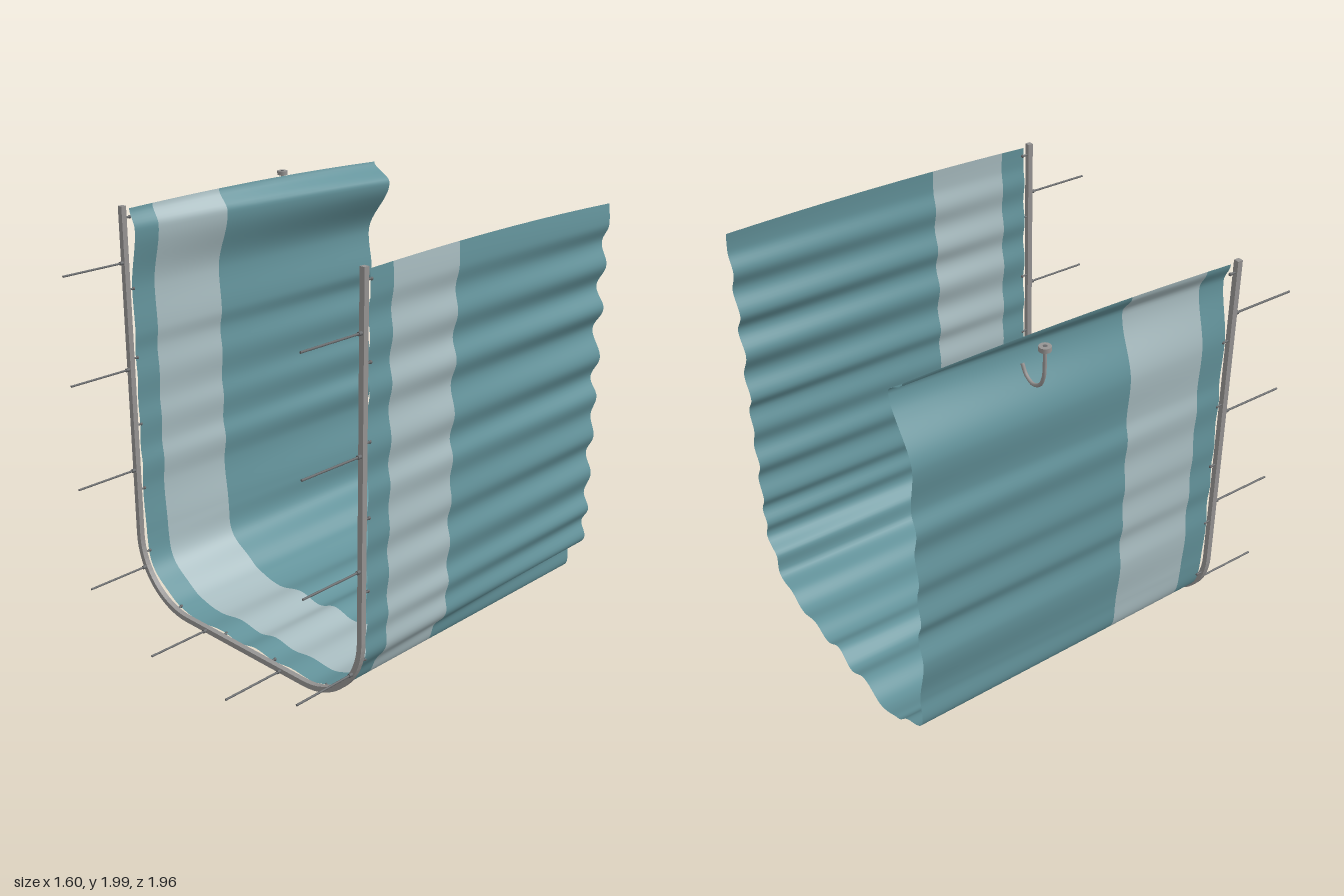
import * as THREE from 'three';

const mat = (name, color, side = THREE.FrontSide) => {
  const m = new THREE.MeshStandardMaterial({ color, side });
  m.name = name;
  return m;
};

// U-shaped path, measured by length s from the top of the right-hand (-x) leg
const LEFT = -0.7, RIGHT = 0.782, FLOOR = 0.04, R = 0.34, TOP = 2;
const leg = TOP - FLOOR - R, arc = R * Math.PI / 2, flat = RIGHT - LEFT - 2 * R;
const LENGTH = 2 * (leg + arc) + flat;

// Point on the path, moved inward by d
function pathPoint(s, d = 0) {
  if (s > LENGTH / 2) {
    const p = pathPoint(LENGTH - s, d);
    p.x = LEFT + RIGHT - p.x;
    return p;
  }
  if (s < leg) return new THREE.Vector2(LEFT + d, TOP - s);
  if (s < leg + arc) {
    const a = (s - leg) / R;
    return new THREE.Vector2(LEFT + R - (R - d) * Math.cos(a), FLOOR + R - (R - d) * Math.sin(a));
  }
  return new THREE.Vector2(LEFT + R + s - leg - arc, FLOOR + d);
}

// Crests and troughs of the folds: [length along path, inward offset at the free end]
const FOLDS = [
  [0, 0.03], [0.1, 0.14], [0.4, -0.005], [0.6, 0.02], [0.7, -0.01], [0.82, 0.012], [0.95, -0.01],
  [1.05, 0.01], [1.17, -0.01], [1.27, 0.02], [1.4, -0.01], [1.65, 0.03], [1.8, -0.015], [1.95, 0.03],
  [2.06, 0.005], [2.21, -0.03], [2.36, 0.02], [2.49, -0.028], [2.6, 0.03], [2.72, -0.02], [2.84, 0.015],
  [2.96, -0.01], [3.08, 0.02], [3.2, -0.02], [3.3, 0.04], [3.41, -0.012], [3.49, 0.022], [3.57, -0.012],
  [3.65, 0.02], [3.76, -0.012], [3.86, 0.025], [3.96, -0.012], [4.06, 0.014], [4.16, -0.012],
  [4.25, 0.03], [4.36, -0.014], [4.49, 0.038], [4.6, -0.014], [4.7, 0.034], [4.81, -0.012],
  [4.91, 0.022], [5.01, -0.012], [5.2, 0.005],
];

function foldOffset(s) {
  let i = 0;
  while (i < FOLDS.length - 2 && s > FOLDS[i + 1][0]) i++;
  const [a, va] = FOLDS[i], [b, vb] = FOLDS[i + 1];
  const t = (1 - Math.cos(Math.PI * (s - a) / (b - a))) / 2;
  return va + (vb - va) * t;
}

// Strip of cloth between two depths; the folds deepen away from the rail
const NEAR = 0.61, FAR = -0.98;
function clothStrip(z0, z1, material, name) {
  const g = new THREE.PlaneGeometry(1, 1, 360, 6);
  const pos = g.attributes.position;
  for (let i = 0; i < pos.count; i++) {
    const s = (pos.getX(i) + 0.5) * LENGTH;
    const z = z0 + (z1 - z0) * (pos.getY(i) + 0.5);
    const t = (NEAR - z) / (NEAR - FAR);
    const p = pathPoint(s, foldOffset(s) * (0.3 + 0.7 * t));
    const edge = Math.max(0, (p.y - 1.8) / 0.2);
    pos.setXYZ(i, p.x, p.y - 0.06 * (t - 0.5) ** 2 * edge, z);
  }
  g.computeVertexNormals();
  const m = new THREE.Mesh(g, material);
  m.name = name;
  return m;
}

export function createModel() {
  const model = new THREE.Group();
  model.name = 'curtainOnRail';
  const teal = mat('teal cloth', 0x64949c, THREE.DoubleSide);
  const pale = mat('pale band', 0xa9bdc1, THREE.DoubleSide);
  const metal = mat('rail metal', 0x969493);
  const dark = mat('dark metal', 0x66686a);

  const add = (geometry, material, name, x = 0, y = 0, z = 0) => {
    const m = new THREE.Mesh(geometry, material);
    m.name = name;
    m.position.set(x, y, z);
    model.add(m);
    return m;
  };

  // Curtain in three strips
  model.add(clothStrip(NEAR, 0.48, teal, 'curtainHem'));
  model.add(clothStrip(0.48, 0.085, pale, 'curtainBand'));
  model.add(clothStrip(0.085, FAR, teal, 'curtainBody'));

  // Rail: a bar of even width following the path
  const stops = [0, leg];
  for (let i = 1; i <= 16; i++) stops.push(leg + arc * i / 16);
  const all = [...stops, ...stops.map((s) => LENGTH - s).reverse()];
  const outline = [
    ...all.map((s) => pathPoint(s, -0.013)),
    ...all.map((s) => pathPoint(s, 0.013)).reverse(),
  ];
  add(new THREE.ExtrudeGeometry(new THREE.Shape(outline), { depth: 0.026, bevelEnabled: false }),
    metal, 'rail', 0, 0, 0.629);

  // Hanger rods in front of the rail
  const rod = new THREE.CylinderGeometry(0.005, 0.005, 0.345, 10).rotateX(Math.PI / 2);
  const collar = new THREE.CylinderGeometry(0.009, 0.009, 0.02, 12).rotateX(Math.PI / 2);
  for (let i = 0; i < 10; i++) {
    const p = pathPoint(0.26 + i * (LENGTH - 0.52) / 9);
    add(rod, dark, 'hangerRod', p.x, p.y, 0.8075);
    add(collar, dark, 'rodCollar', p.x, p.y, 0.662);
  }

  // Gliders joining the cloth to the rail
  const glider = new THREE.CylinderGeometry(0.005, 0.005, 0.035, 10).rotateX(Math.PI / 2);
  const bead = new THREE.SphereGeometry(0.008, 10, 8);
  for (let i = 0; i < 16; i++) {
    const p = pathPoint(0.056 + i * (LENGTH - 0.112) / 15);
    add(glider, dark, 'glider', p.x, p.y, 0.6175);
    add(bead, dark, 'gliderBead', p.x, p.y, 0.603);
  }

  // Hook on the outside of the bulging edge
  const hookZ = -0.42;
  const hook = new THREE.CatmullRomCurve3([
    [-0.78, 1.985], [-0.78, 1.92], [-0.775, 1.86], [-0.75, 1.81], [-0.705, 1.79], [-0.66, 1.81], [-0.635, 1.85],
  ].map(([x, y]) => new THREE.Vector3(x, y, hookZ)));
  add(new THREE.TubeGeometry(hook, 32, 0.008, 10), metal, 'hook');
  add(new THREE.CylinderGeometry(0.026, 0.026, 0.02, 20), metal, 'hookCap', -0.78, 1.99, hookZ);
  add(new THREE.CylinderGeometry(0.009, 0.009, 0.004, 12), dark, 'hookCapCentre', -0.78, 1.999, hookZ);

  return model;
}
